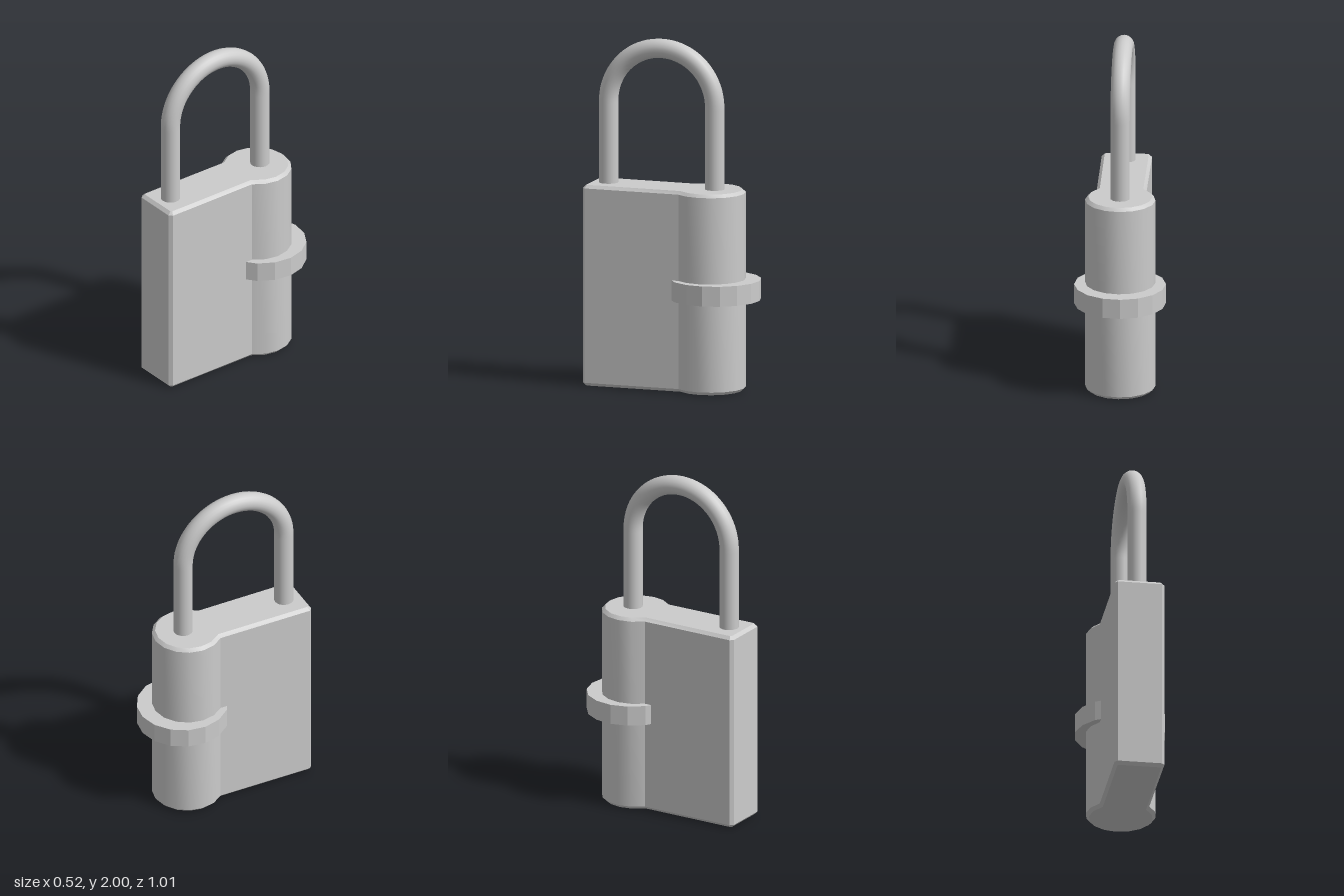
import * as THREE from 'three';
import { toCreasedNormals } from 'three/addons/utils/BufferGeometryUtils.js';

export function createModel() {
  const group = new THREE.Group();
  const material = new THREE.MeshStandardMaterial({ color: 0xcccccc });
  const add = (name, geometry, mat = material) => {
    const mesh = new THREE.Mesh(geometry, mat);
    mesh.name = name;
    group.add(mesh);
    return mesh;
  };

  // Body: keyhole outline (slab plus round barrel at the back), bevelled top and bottom
  const height = 1.155, bevel = 0.018, radius = 0.2, barrelZ = -0.22;
  const halfWidth = 0.143, frontZ = 0.505;
  const outline = [];
  const addPoint = (x, z) => outline.push(new THREE.Vector2(x, -z));
  addPoint(-halfWidth + bevel, frontZ);
  addPoint(halfWidth - bevel, frontZ);
  addPoint(halfWidth, frontZ - bevel);
  for (let i = 6; i >= -6; i--) {
    const a = (i * Math.PI) / 8;
    addPoint(radius * Math.sin(a), barrelZ - radius * Math.cos(a));
  }
  addPoint(-halfWidth, frontZ - bevel);
  const body = new THREE.ExtrudeGeometry(new THREE.Shape(outline), {
    depth: height - 2 * bevel,
    bevelEnabled: true,
    bevelThickness: bevel,
    bevelSize: bevel,
    bevelOffset: -bevel,
    bevelSegments: 1,
  });
  body.rotateX(-Math.PI / 2);
  body.translate(0, bevel, 0);
  add('body', toCreasedNormals(body, Math.PI / 6));

  // Faceted collar around the barrel
  const flat = material.clone();
  flat.flatShading = true;
  const collar = new THREE.CylinderGeometry(0.26, 0.26, 0.115, 16, 1, false, 0.058);
  add('collar', collar, flat).position.set(0, 0.583, -0.25);

  // Shackle: two straight legs joined by a half circle
  const bend = 0.32, centreZ = 0.075, bendY = 1.625, legBase = 1.1;
  const point = (y, z) => new THREE.Vector3(0, y, z);
  class ShackleCurve extends THREE.Curve {
    getPoint(t, target = new THREE.Vector3()) {
      const leg = bendY - legBase, arc = Math.PI * bend;
      const s = t * (2 * leg + arc);
      if (s < leg) return target.copy(point(legBase + s, centreZ + bend));
      if (s > leg + arc) return target.copy(point(bendY - (s - leg - arc), centreZ - bend));
      const a = (s - leg) / bend;
      return target.copy(point(bendY + bend * Math.sin(a), centreZ + bend * Math.cos(a)));
    }
  }
  add('shackle', new THREE.TubeGeometry(new ShackleCurve(), 80, 0.055, 20, false));

  return group;
}
